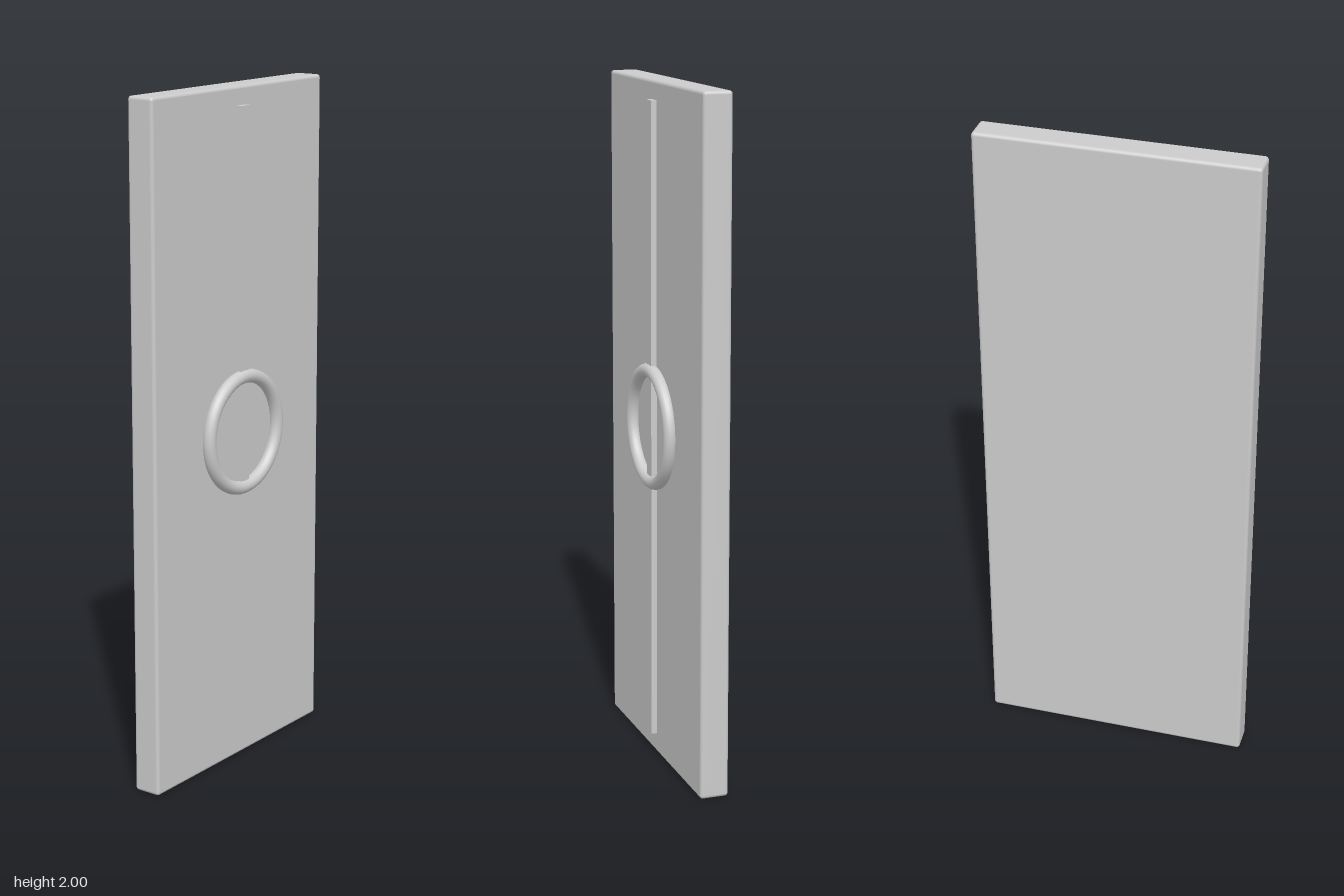
import * as THREE from 'three';
import { RoundedBoxGeometry } from 'three/addons/geometries/RoundedBoxGeometry.js';

export function createModel() {
  const model = new THREE.Group();
  const material = new THREE.MeshStandardMaterial({ color: 0xcccccc });

  const add = (name, geometry, x, y, z) => {
    const mesh = new THREE.Mesh(geometry, material);
    mesh.name = name;
    mesh.position.set(x, y, z);
    model.add(mesh);
  };

  // Door slab with softened edges
  add('doorSlab', new RoundedBoxGeometry(0.8, 2, 0.085, 3, 0.01), 0, 1, -0.0155);

  // Vertical strip down the middle of the front, partly sunk into the slab
  add('centerStrip', new THREE.BoxGeometry(0.04, 1.884, 0.03), 0, 1.003, 0.029);

  // Ring around the middle of the strip
  add('ring', new THREE.TorusGeometry(0.165, 0.02, 16, 48), 0, 1.003, 0.038);

  return model;
}
